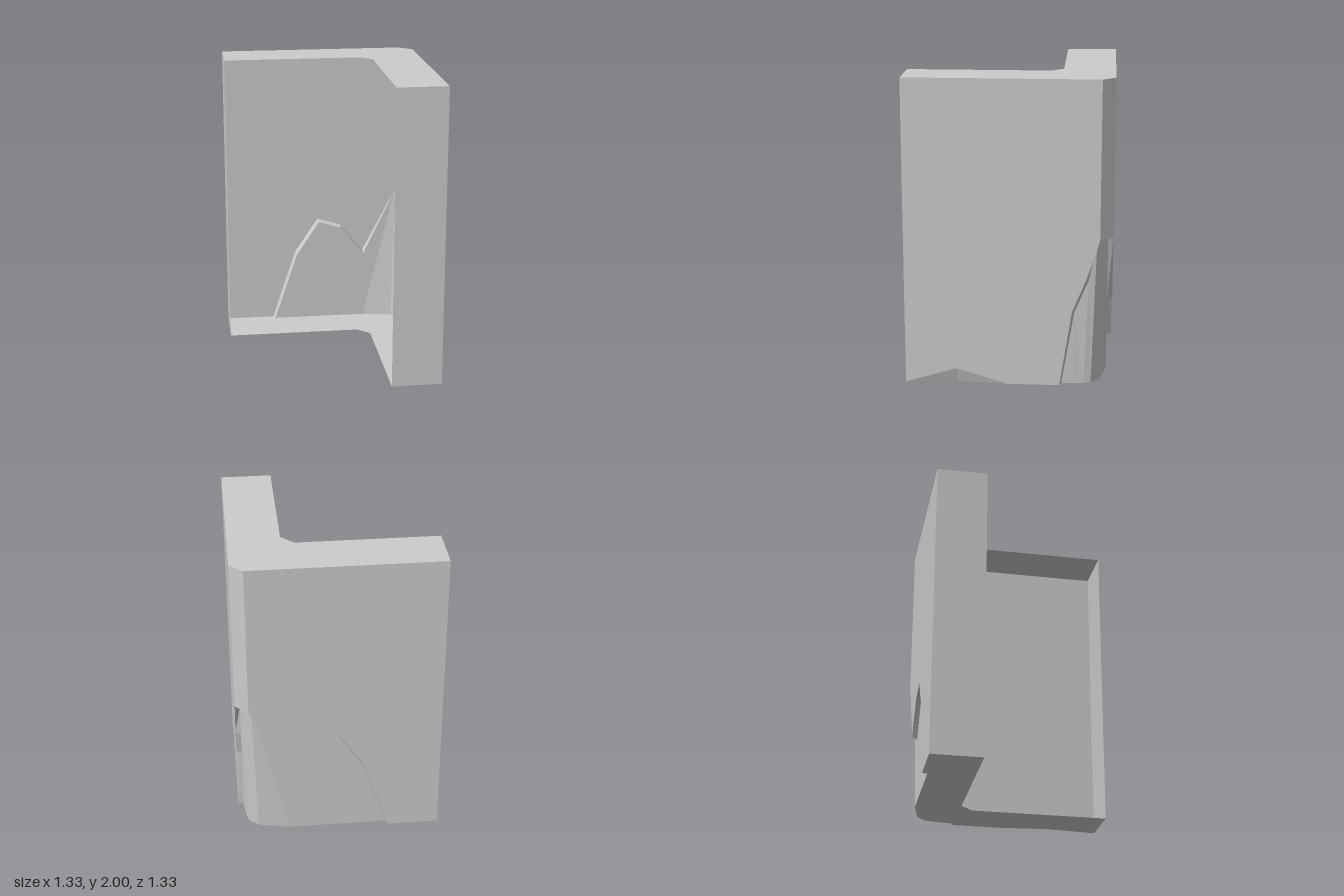
import * as THREE from 'three';

const V = (x, y, z) => new THREE.Vector3(x, y, z);
const material = new THREE.MeshStandardMaterial({ color: 0xcccccc, side: THREE.DoubleSide, flatShading: true });
const H = 2, E = 0.667, C = 0.583, I = 0.333, K = 0.25; // height, outer face, chamfer, inner face, inner chamfer

// Triangles wound so that they face the given outward direction
function surface(name, tris, out) {
  const points = [];
  for (const [a, b, c] of tris) {
    const n = b.clone().sub(a).cross(c.clone().sub(a));
    if (n.length() < 1e-7) continue;
    points.push(...(n.dot(out) < 0 ? [a, c, b] : [a, b, c]));
  }
  const geometry = new THREE.BufferGeometry().setFromPoints(points);
  geometry.computeVertexNormals();
  const mesh = new THREE.Mesh(geometry, material);
  mesh.name = name;
  return mesh;
}

// Flat polygon, triangulated on the two given axes
function polygon(name, pts, u, v, out) {
  const flat = pts.map(p => new THREE.Vector2(p[u], p[v]));
  const tris = THREE.ShapeUtils.triangulateShape(flat, []).map(f => f.map(i => pts[i]));
  return surface(name, tris, out);
}

// Strip of quads between two rows of points
function strip(name, rowA, rowB, out) {
  const tris = [];
  for (let i = 0; i + 1 < rowA.length; i++) {
    tris.push([rowA[i], rowB[i], rowB[i + 1]], [rowA[i], rowB[i + 1], rowA[i + 1]]);
  }
  return surface(name, tris, out);
}

export function createModel() {
  const group = new THREE.Group();
  group.name = 'brokenCornerWall';

  // Jagged rim of the broken area: side wall, round the corner, back wall
  const rim = [
    V(E, 0, -0.333), V(E, 0.5, -0.41), V(E, 0.72, -0.5), V(E, 0.975, -C),
    V(C, 0.975, -E), V(0.333, 0.5, -E), V(0.167, 0.7, -E), V(0, 0.75, -E),
    V(-0.167, 0.5, -E), V(-0.333, 0, -E),
  ];
  // Top edge of the sunken surface, just inside the rim
  const sunkTop = [
    V(0.633, 0, -0.345), V(0.633, 0.49, -0.425), V(0.633, 0.705, -0.515), V(0.633, 0.96, -0.565),
    V(0.565, 0.96, -0.633), V(0.333, 0.475, -0.633), V(0.167, 0.685, -0.633), V(0.005, 0.733, -0.633),
    V(-0.155, 0.49, -0.633), V(-0.318, 0, -0.633),
  ];
  // Foot of the sunken surface
  const sunkFoot = [
    sunkTop[0], V(0.625, 0, -0.42), V(0.615, 0, -0.49), V(0.602, 0, -0.535),
    V(0.54, 0, -0.59), V(0.333, 0, -0.633), V(0.167, 0, -0.633), V(0, 0, -0.633),
    V(-0.155, 0, -0.633), sunkTop[9],
  ];
  const outward = V(1, 0, -1);

  // Outer walls
  const nickPeak = V(E, 0.1, 0.333), nickFoot = V(0.635, 0, 0.333);
  group.add(polygon('sideWall', [
    V(E, H, E), V(E, 0, E), nickPeak, V(E, 0, 0), ...rim.slice(0, 4), V(E, H, -C),
  ], 'z', 'y', V(1, 0, 0)));
  group.add(polygon('backWall', [
    V(C, H, -E), ...rim.slice(4), V(-E, 0, -E), V(-E, H, -E),
  ], 'x', 'y', V(0, 0, -1)));
  group.add(strip('cornerChamfer', [V(E, H, -C), V(C, H, -E)], [rim[3], rim[4]], outward));

  // Broken area: thin lip and sunken surface
  group.add(strip('brokenLip', rim, sunkTop, outward));
  group.add(strip('brokenSurface', sunkTop, sunkFoot, outward));

  // Small nick at the foot of the side wall
  group.add(surface('footNick', [
    [nickPeak, V(E, 0, E), nickFoot], [nickPeak, nickFoot, V(E, 0, 0)],
  ], V(1, 0, 0)));

  // End caps
  group.add(polygon('frontEnd', [V(I, 0, E), V(E, 0, E), V(E, H, E), V(I, H, E)], 'x', 'y', V(0, 0, 1)));
  group.add(polygon('sideEnd', [V(-E, 0, -E), V(-E, 0, -I), V(-E, H, -I), V(-E, H, -E)], 'z', 'y', V(-1, 0, 0)));

  // Top and bottom; the inner side of the wall stays open
  const inner = y => [V(-E, y, -E), V(-E, y, -I), V(K, y, -I), V(I, y, -K), V(I, y, E), V(E, y, E)];
  group.add(polygon('top', [...inner(H), V(E, H, -C), V(C, H, -E)], 'x', 'z', V(0, 1, 0)));
  group.add(polygon('bottom', [
    ...inner(0), nickFoot, V(E, 0, 0), rim[0], ...sunkFoot, rim[9],
  ], 'x', 'z', V(0, -1, 0)));

  return group;
}
